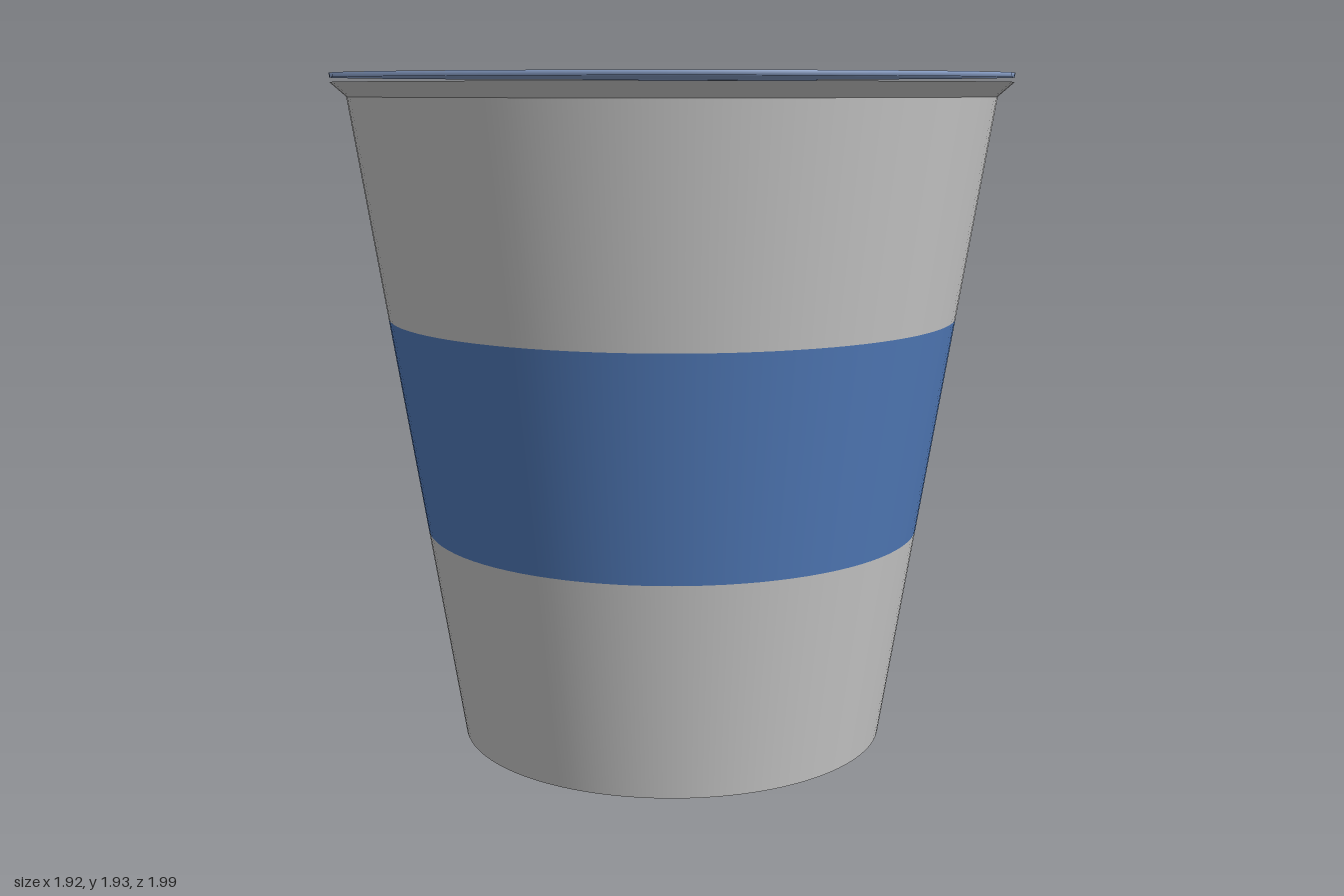
import * as THREE from 'three';

const Z0 = 0.04;          // cup axis
const TOP = 1.925;        // lid height
const FOIL = 0.013;       // lid thickness

const material = (color) => new THREE.MeshStandardMaterial({ color, side: THREE.DoubleSide });

// Smooth surface from a rule fn(i, j) -> [x, y, z]
function grid(nu, nv, fn) {
  const pos = [], idx = [];
  for (let j = 0; j <= nv; j++) for (let i = 0; i <= nu; i++) pos.push(...fn(i, j));
  for (let j = 0; j < nv; j++) for (let i = 0; i < nu; i++) {
    const a = j * (nu + 1) + i, b = a + 1, c = a + nu + 1, d = c + 1;
    idx.push(a, b, c, b, d, c);
  }
  const g = new THREE.BufferGeometry();
  g.setAttribute('position', new THREE.Float32BufferAttribute(pos, 3));
  g.setIndex(idx);
  g.computeVertexNormals();
  return g;
}

// Flat disc with crimped shading round its edge
function lidGeometry() {
  const teeth = 48, n = teeth * 2, normals = [];
  const ring = (i, j) => {
    const a = (i / n) * Math.PI * 2, s = Math.sin(a), c = Math.cos(a);
    const underTab = c > 0 && Math.abs(s) < 0.22;
    const crimp = underTab ? 0.9 : i % 2 ? 0.71 : 0.85;
    const r = [0, crimp, 0.96, 0.96, crimp, 0][j];
    const y = TOP - (j > 2 ? FOIL : 0);
    const tilt = j === 2 || j === 3 ? 0.85 : 0;
    const up = Math.sqrt(1 - tilt * tilt) * (j > 2 ? -1 : 1);
    normals.push(s * tilt, up, -c * tilt);
    return [r * s, y, Z0 - r * c];
  };
  const g = grid(n, 5, ring);
  g.setAttribute('normal', new THREE.Float32BufferAttribute(normals, 3));
  return g;
}

// Pull tab: a tongue that follows the lid edge and folds down behind it
function tabGeometry() {
  const cols = 40, rows = 24, half = 0.38, zStart = -0.8;
  const bendAt = -0.88, bendR = 0.06, bendAngle = 1.26;
  const fold = (x, flatZ, drop) => {
    const s = Math.max(0, bendAt - flatZ);
    const a = Math.min(s / bendR, bendAngle), rest = Math.max(0, s - bendR * bendAngle);
    const r = bendR - drop;
    return [
      x,
      TOP + 0.003 - bendR + r * Math.cos(a) - rest * Math.sin(a),
      Math.max(flatZ, bendAt) - r * Math.sin(a) - rest * Math.cos(a),
    ];
  };
  return grid(cols, rows * 2 + 1, (i, j) => {
    const x = half * (2 * i / cols - 1);
    const below = j > rows, k = (below ? rows * 2 + 1 - j : j) / rows;
    const reach = 0.22 * (1 - THREE.MathUtils.smoothstep(Math.abs(x), 0.08, half));
    const edge = Z0 - Math.sqrt(0.96 * 0.96 - x * x) - reach;
    return fold(x, THREE.MathUtils.lerp(zStart, edge, k), below ? FOIL : 0);
  });
}

export function createModel() {
  const model = new THREE.Group();
  const grey = material(0xcccccc), blue = material(0x527cbc), foil = material(0x8ca3cc);

  const add = (name, geometry, mat, parent = model) => {
    const mesh = new THREE.Mesh(geometry, mat);
    mesh.name = name;
    parent.add(mesh);
  };

  // Cup: each profile stretch is its own lathe so that the corners stay sharp
  const cup = new THREE.Group();
  cup.name = 'cup';
  cup.position.z = Z0;
  model.add(cup);
  const wall = (y) => 0.62 + (0.295 * y) / 1.86;
  const turn = (name, mat, ...pts) => add(
    name,
    new THREE.LatheGeometry(pts.map(([r, y]) => new THREE.Vector2(r, y)), 96),
    mat, cup);

  turn('base', grey, [0, 0], [wall(0), 0]);
  turn('lowerWall', grey, [wall(0), 0], [wall(0.62), 0.62]);
  turn('colourBand', blue, [wall(0.62), 0.62], [wall(1.24), 1.24]);
  turn('upperWall', grey, [wall(1.24), 1.24], [wall(1.86), 1.86]);
  turn('rimFlare', grey, [wall(1.86), 1.86], [0.96, 1.9]);
  turn('rimTop', grey, [0.96, 1.9], [0.94, 1.9]);
  turn('rimInside', grey, [0.94, 1.9], [0.9, 1.865]);
  turn('innerWall', grey, [0.9, 1.865], [0.607, 0.015]);
  turn('floor', grey, [0.607, 0.015], [0, 0.015]);

  // Foil lid with its pull tab
  const lid = new THREE.Group();
  lid.name = 'lid';
  model.add(lid);
  add('lidDisc', lidGeometry(), foil, lid);
  add('pullTab', tabGeometry(), foil, lid);

  return model;
}
